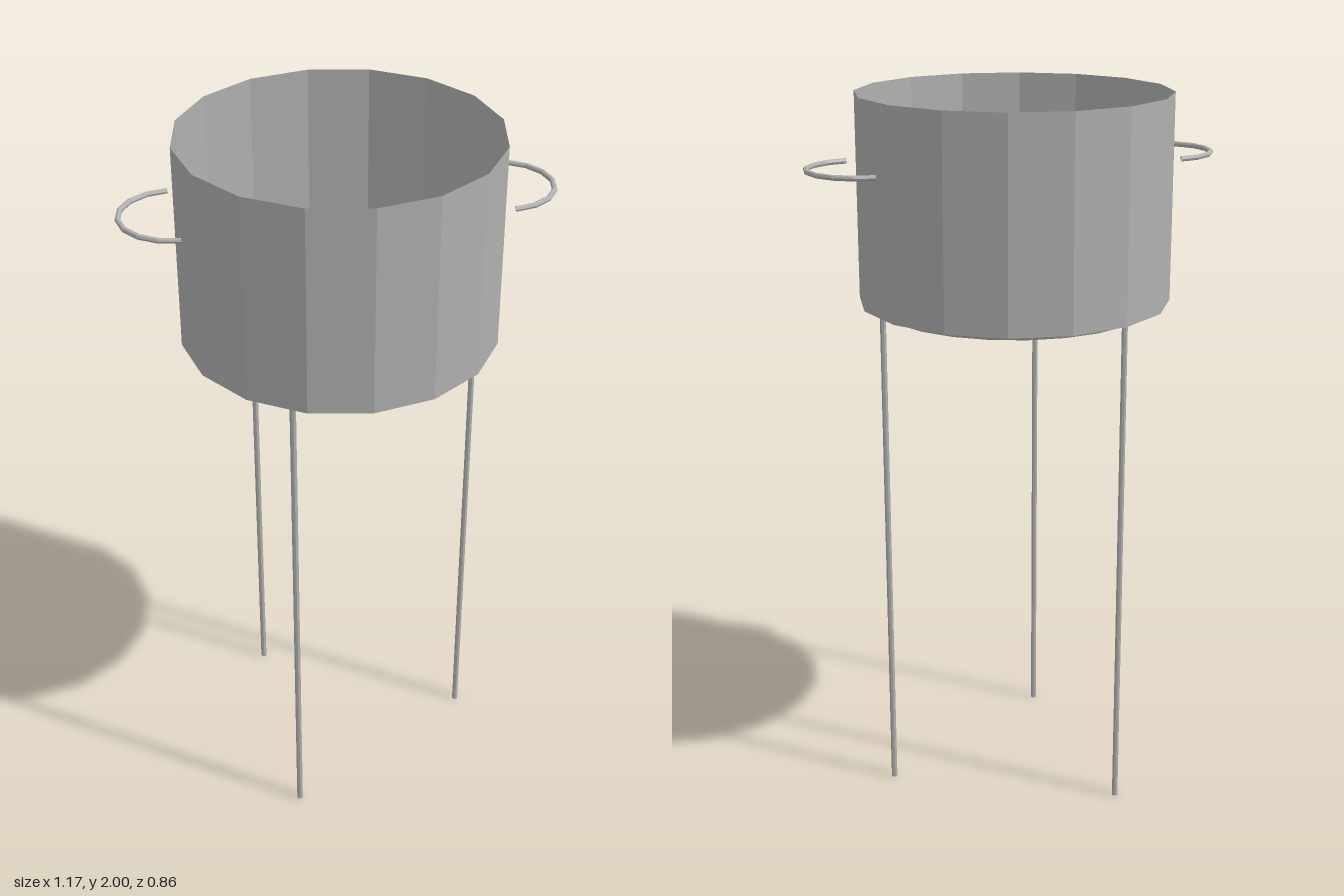
import * as THREE from 'three';

export function createModel() {
  const model = new THREE.Group();
  model.name = 'potOnTripod';

  const steel = new THREE.MeshStandardMaterial({ color: 0xb0b0b0, side: THREE.DoubleSide, flatShading: true });
  steel.name = 'steel grey';

  const POT_R = 0.432, POT_BOTTOM = 1.43, POT_TOP = 2;
  const RING_R = 0.381, RING_Y = 1.42, ROD = 0.0085;

  const add = (name, geometry, parent = model) => {
    const mesh = new THREE.Mesh(geometry, steel);
    mesh.name = name;
    parent.add(mesh);
    return mesh;
  };

  // Sixteen-sided pot: thin open wall and a flat floor
  const height = POT_TOP - POT_BOTTOM;
  add('potWall', new THREE.CylinderGeometry(POT_R, POT_R, height, 16, 1, true))
    .position.y = POT_BOTTOM + height / 2;
  const floor = add('potFloor', new THREE.CircleGeometry(POT_R, 16));
  floor.rotation.x = -Math.PI / 2;
  floor.position.y = POT_BOTTOM;

  // Half-ring handles on both sides, open ends towards the pot
  for (const side of [1, -1]) {
    const handle = add(side > 0 ? 'leftHandle' : 'rightHandle',
      new THREE.TorusGeometry(0.144, 0.0075, 8, 8, Math.PI).rotateZ(-Math.PI / 2).rotateX(Math.PI / 2));
    handle.position.set(side * POT_R, 1.815, 0);
    if (side < 0) handle.rotation.y = Math.PI;
  }

  // Tripod: support ring and three straight legs
  const stand = new THREE.Group();
  stand.name = 'tripod';
  model.add(stand);
  const ring = add('supportRing', new THREE.TorusGeometry(RING_R, ROD, 8, 24), stand);
  ring.rotation.x = Math.PI / 2;
  ring.position.y = RING_Y;
  for (let i = 0; i < 3; i++) {
    const a = i * Math.PI * 2 / 3;
    add('leg' + (i + 1), new THREE.CylinderGeometry(ROD, ROD, RING_Y, 8), stand)
      .position.set(RING_R * Math.cos(a), RING_Y / 2, RING_R * Math.sin(a));
  }

  return model;
}
